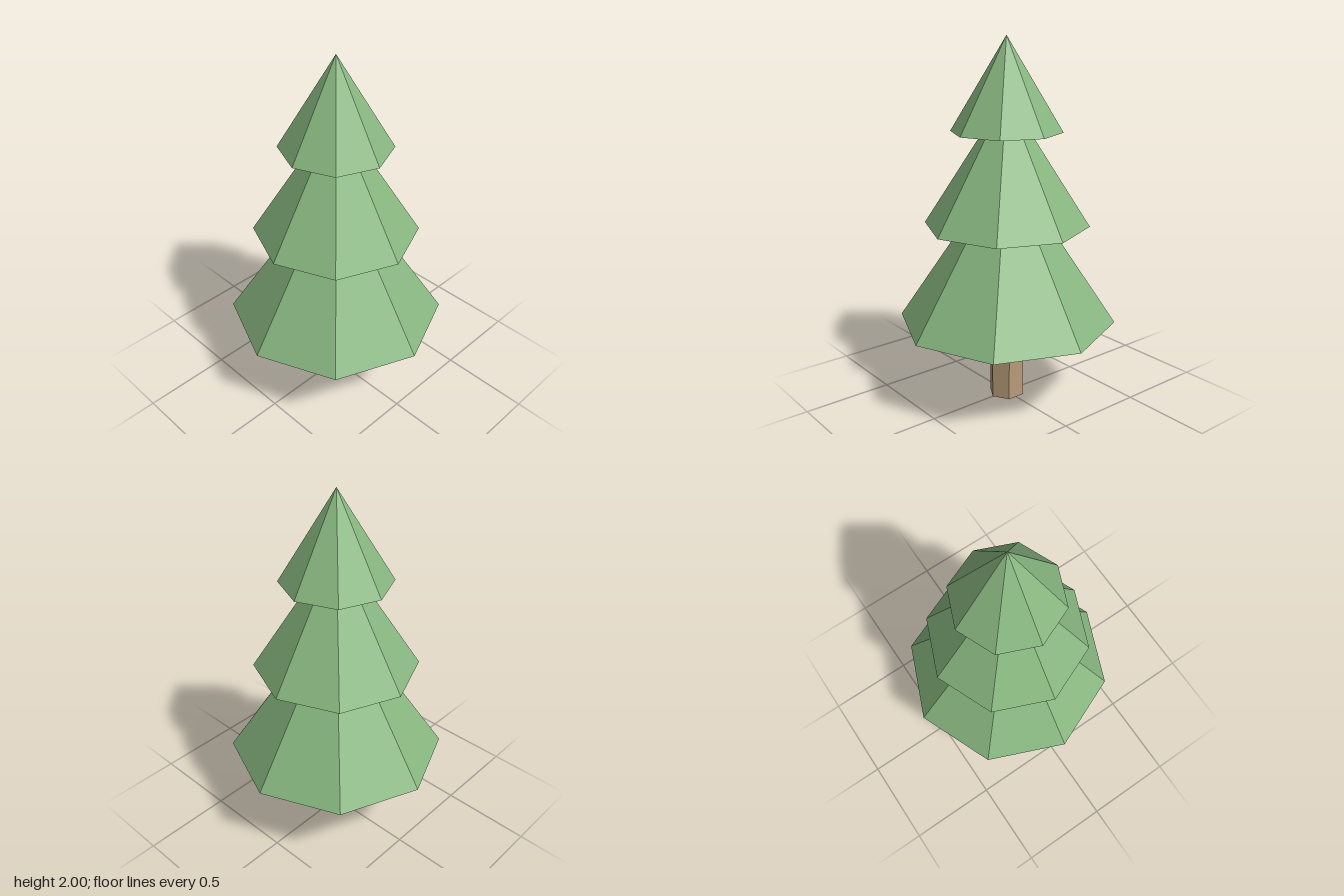
import * as THREE from 'three';

export function createModel() {
  const group = new THREE.Group();
  const leafGreen = new THREE.MeshStandardMaterial({ name: 'leafGreen', color: 0x88b780, flatShading: true });
  const barkBrown = new THREE.MeshStandardMaterial({ name: 'barkBrown', color: 0xb89b7a, flatShading: true });

  // Hexagonal trunk, corners on the x axis
  const trunkHeight = 0.5;
  const trunk = new THREE.Mesh(new THREE.CylinderGeometry(0.1, 0.1, trunkHeight, 6), barkBrown);
  trunk.name = 'trunk';
  trunk.rotation.y = Math.PI / 2;
  trunk.position.y = trunkHeight / 2;
  group.add(trunk);

  // Three stacked eight-sided foliage cones
  const tiers = [
    { name: 'lowerFoliage', radius: 0.6, base: 0.455, tip: 1.35 },
    { name: 'middleFoliage', radius: 0.45, base: 1.0, tip: 1.7 },
    { name: 'upperFoliage', radius: 0.3, base: 1.505, tip: 2.0 },
  ];
  for (const { name, radius, base, tip } of tiers) {
    const cone = new THREE.Mesh(new THREE.ConeGeometry(radius, tip - base, 8), leafGreen);
    cone.name = name;
    cone.position.y = (base + tip) / 2;
    group.add(cone);
  }
  return group;
}
